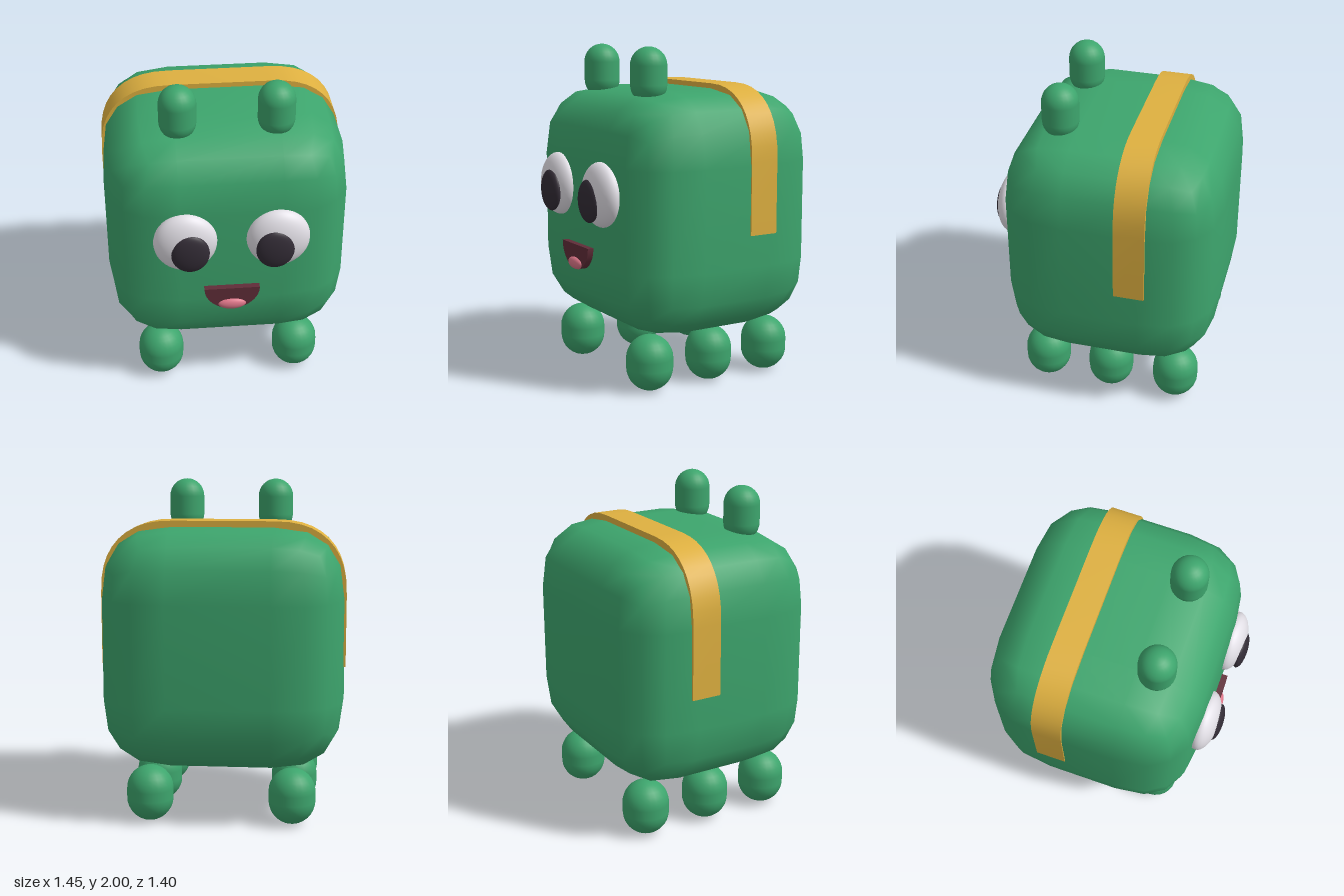
import * as THREE from 'three';
import { mergeVertices, toCreasedNormals } from 'three/addons/utils/BufferGeometryUtils.js';

const material = (name, color) => {
  const m = new THREE.MeshStandardMaterial({ color });
  m.name = name;
  return m;
};

// Box whose corners are rounded by a slightly square curve
function softBox(hx, hy, hz, r, power) {
  const geo = new THREE.BoxGeometry(2, 2, 2, 5, 5, 5);
  geo.deleteAttribute('uv');
  geo.deleteAttribute('normal');
  const steps = [-1, -0.506, 0, 0, 0.506, 1];
  const sides = [-1, -1, -1, 1, 1, 1];
  const half = [hx, hy, hz];
  const pos = geo.attributes.position;
  for (let i = 0; i < pos.count; i++) {
    const index = [pos.getX(i), pos.getY(i), pos.getZ(i)].map(v => Math.round((v + 1) * 2.5));
    const d = index.map(k => steps[k]);
    const len = Math.pow(d.reduce((s, v) => s + Math.pow(Math.abs(v), power), 0), 1 / power);
    pos.setXYZ(i, ...index.map((k, a) => sides[k] * (half[a] - r) + (r * d[a]) / len));
  }
  const merged = mergeVertices(geo);
  merged.computeVertexNormals();
  return merged;
}

// Arch outline from the right end over the top to the left end
function archPoints(halfWidth, top, bottom, r, power) {
  const right = [new THREE.Vector2(halfWidth, bottom)];
  const n = 10;
  for (let i = 0; i <= n; i++) {
    const a = (i / n) * Math.PI / 2;
    right.push(new THREE.Vector2(
      halfWidth - r + r * Math.pow(Math.max(0, Math.cos(a)), 2 / power),
      top - r + r * Math.pow(Math.sin(a), 2 / power)));
  }
  const left = right.map(p => new THREE.Vector2(-p.x, p.y)).reverse();
  return [...right, ...left];
}

export function createModel() {
  const model = new THREE.Group();
  model.name = 'creature';
  const green = material('green skin', 0x3da56d);
  const gold = material('gold band', 0xdeb040);
  const white = material('eye white', 0xe6e3ea);
  const dark = material('pupil dark', 0x332c36);
  const maroon = material('mouth maroon', 0x602d38);
  const pink = material('tongue pink', 0xdd7588);

  const add = (name, geo, mat, x, y, z) => {
    const mesh = new THREE.Mesh(geo, mat);
    mesh.name = name;
    mesh.position.set(x, y, z);
    model.add(mesh);
    return mesh;
  };
  const ellipsoid = (rx, ry, rz) => new THREE.SphereGeometry(1, 32, 20).scale(rx, ry, rz);

  // Body
  add('body', softBox(0.72, 0.7175, 0.6425, 0.42, 2.5), green, 0, 1.0275, -0.0575);

  // Band over the back
  const outer = archPoints(0.727, 1.775, 0.92, 0.43, 2.4);
  const inner = archPoints(0.69, 1.735, 0.92, 0.41, 2.4).reverse();
  const bandGeo = new THREE.ExtrudeGeometry(new THREE.Shape([...outer, ...inner]),
    { depth: 0.18, bevelEnabled: false });
  add('band', toCreasedNormals(bandGeo, 0.6), gold, 0, 0, -0.325);

  // Paired parts
  const hornGeo = new THREE.CapsuleGeometry(0.108, 0.112, 8, 24);
  const footGeo = new THREE.CapsuleGeometry(0.139, 0.056, 8, 24);
  const eyeGeo = ellipsoid(0.184, 0.19, 0.09);
  const pupilGeo = ellipsoid(0.111, 0.126, 0.04);
  for (const [side, s] of [['left', 1], ['right', -1]]) {
    add(side + 'Horn', hornGeo, green, s * 0.281, 1.836, 0.275);
    ['front', 'middle', 'back'].forEach((row, i) =>
      add(side + row + 'Foot', footGeo, green, s * 0.423, 0.167, [0.357, -0.055, -0.467][i]));
    add(side + 'Eye', eyeGeo, white, s * 0.268, 1.16, 0.585);
    add(side + 'Pupil', pupilGeo, dark, s * 0.244, 1.126, 0.656);
  }

  // Open mouth with tongue
  const mouthShape = new THREE.Shape();
  mouthShape.absellipse(0, 0, 0.163, 0.15, Math.PI, Math.PI * 2, false);
  mouthShape.closePath();
  const mouthGeo = new THREE.ExtrudeGeometry(mouthShape,
    { depth: 0.05, bevelEnabled: false, curveSegments: 24 });
  add('mouth', toCreasedNormals(mouthGeo, 0.6), maroon, 0, 0.828, 0.572);
  add('tongue', ellipsoid(0.083, 0.037, 0.028), pink, 0, 0.714, 0.618);

  return model;
}
